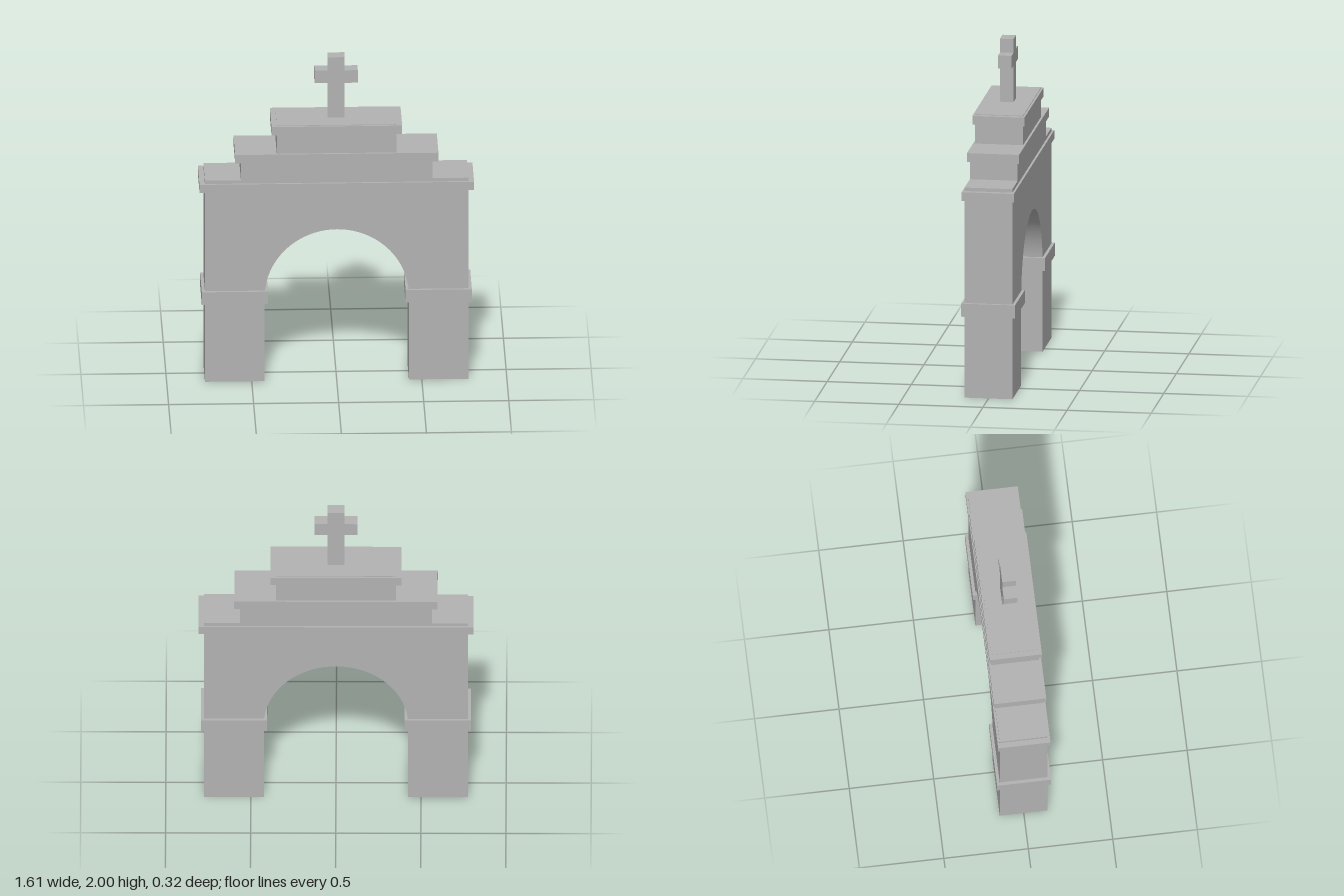
import * as THREE from 'three';

export function createModel() {
  const model = new THREE.Group();
  model.name = 'archGate';
  const stone = new THREE.MeshStandardMaterial({ color: 0xb2b2b2 });
  stone.name = 'greyStone';

  function add(name, geometry) {
    const mesh = new THREE.Mesh(geometry, stone);
    mesh.name = name;
    model.add(mesh);
    return mesh;
  }
  // Box centred on z, given by its x centre, width, bottom, top and depth
  function block(name, x, width, bottom, top, depth) {
    add(name, new THREE.BoxGeometry(width, top - bottom, depth))
      .position.set(x, (bottom + top) / 2, 0);
  }

  // Wall and piers, cut by a round arch
  const bodyDepth = 0.284, half = 0.775, radius = 0.424, spring = 0.53;
  const wall = new THREE.Shape();
  wall.moveTo(-half, 0);
  wall.lineTo(-radius, 0);
  wall.lineTo(-radius, spring);
  wall.absarc(0, spring, radius, Math.PI, 0, true);
  wall.lineTo(radius, 0);
  wall.lineTo(half, 0);
  wall.lineTo(half, 1.27);
  wall.lineTo(-half, 1.27);
  const body = new THREE.ExtrudeGeometry(wall, { depth: bodyDepth, bevelEnabled: false, curveSegments: 48 });
  body.translate(0, 0, -bodyDepth / 2);
  add('archedWall', body);

  // Bands around the piers at the foot of the arch
  for (const side of [-1, 1]) {
    block(side > 0 ? 'leftPierBand' : 'rightPierBand', side * 0.599, 0.39, 0.493, 0.572, 0.32);
  }

  // Stepped gable with a cornice on each step
  block('lowerCornice', 0, 1.614, 1.197, 1.249, 0.31);
  block('middleTier', 0, 1.127, 1.26, 1.42, bodyDepth);
  block('middleCornice', 0, 1.195, 1.381, 1.435, 0.31);
  block('upperTier', 0, 0.705, 1.42, 1.613, bodyDepth);
  block('upperCornice', 0, 0.768, 1.556, 1.609, 0.31);

  // Cross on top, one solid outline
  const w = 0.05, arm = 0.127, low = 1.838, high = 1.917, foot = 1.619, depth = 0.08;
  const outline = [
    [-w, foot], [w, foot], [w, low], [arm, low], [arm, high], [w, high],
    [w, 2], [-w, 2], [-w, high], [-arm, high], [-arm, low], [-w, low],
  ].map(([x, y]) => new THREE.Vector2(x, y));
  const cross = new THREE.ExtrudeGeometry(new THREE.Shape(outline), { depth, bevelEnabled: false });
  cross.translate(0, 0, -depth / 2);
  add('cross', cross);

  return model;
}
